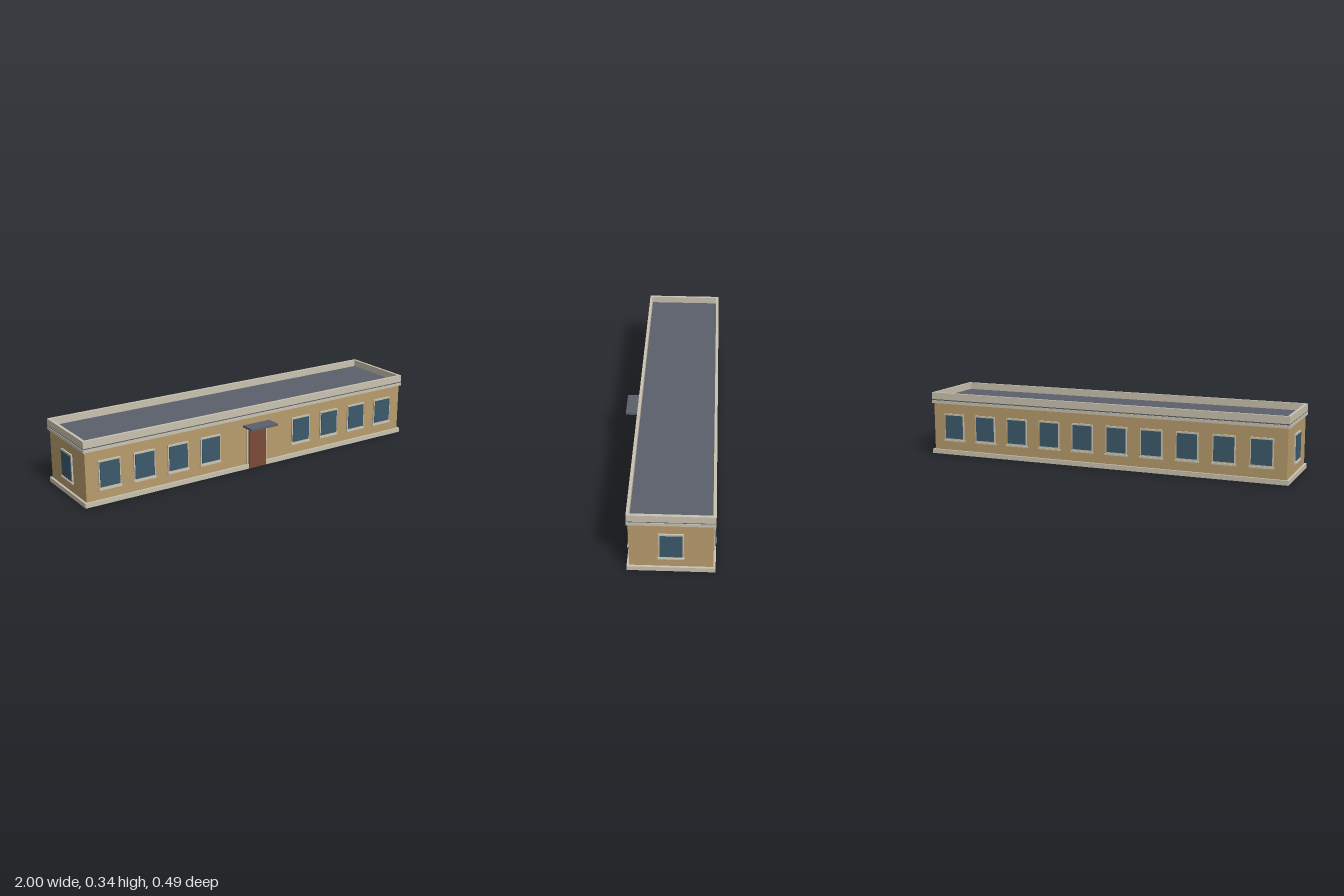
import * as THREE from 'three';

const material = (name, color) => {
  const m = new THREE.MeshStandardMaterial({ color });
  m.name = name;
  return m;
};

export function createModel() {
  const wall = material('ochre wall', 0xb89c6c);
  const trim = material('pale stone', 0xc9c2b0);
  const slate = material('slate roof', 0x5b606a);
  const glass = material('window glass', 0x3c5a6b);
  const wood = material('door wood', 0x7c4b38);

  const model = new THREE.Group();
  model.name = 'longBuilding';
  const CZ = -0.032;            // centre of the block in depth
  const HX = 0.988, HZ = 0.198; // half width and half depth of the walls

  // Box given by its width, y range, z range and centre x
  const box = (name, mat, parent, w, y0, y1, z0, z1, x = 0) => {
    const mesh = new THREE.Mesh(new THREE.BoxGeometry(w, y1 - y0, z1 - z0), mat);
    mesh.name = name;
    mesh.position.set(x, (y0 + y1) / 2, (z0 + z1) / 2);
    parent.add(mesh);
    return mesh;
  };
  // Layer of the block that overhangs the walls by "out"
  const layer = (name, mat, out, y0, y1) =>
    box(name, mat, model, 2 * (HX + out), y0, y1, CZ - HZ - out, CZ + HZ + out);

  // Stacked body
  layer('plinth', trim, 0.0115, 0, 0.024);
  layer('walls', wall, 0, 0.024, 0.281);
  layer('cornice', trim, 0.009, 0.281, 0.297);
  layer('roofDeck', slate, 0.006, 0.297, 0.303);

  // Parapet ring around the roof
  const px = HX + 0.0085, pz = HZ + 0.0085, t = 0.015;
  const ring = new THREE.Shape([[-px, -pz], [px, -pz], [px, pz], [-px, pz]].map(p => new THREE.Vector2(...p)));
  ring.holes.push(new THREE.Path([[t - px, t - pz], [t - px, pz - t], [px - t, pz - t], [px - t, t - pz]].map(p => new THREE.Vector2(...p))));
  const parapet = new THREE.Mesh(new THREE.ExtrudeGeometry(ring, { depth: 0.037, bevelEnabled: false }), trim);
  parapet.name = 'parapet';
  parapet.rotation.x = -Math.PI / 2;
  parapet.position.set(0, 0.303, CZ);
  model.add(parapet);

  // Window facing +z, its group origin on the wall surface
  const addWindow = (name, x, z, turn) => {
    const g = new THREE.Group();
    g.name = name;
    box('windowFrame', trim, g, 0.118, 0.08, 0.227, -0.002, 0.007);
    box('windowPane', glass, g, 0.106, 0.09, 0.218, 0.002, 0.0105);
    box('windowSill', trim, g, 0.126, 0.074, 0.082, -0.002, 0.012);
    g.position.set(x, 0, z);
    g.rotation.y = turn;
    model.add(g);
  };

  // Ten bays at the back; the front leaves the middle two free for the door
  for (let i = 0; i < 10; i++) {
    const x = (i - 4.5) * 0.1914;
    addWindow('backWindow', x, CZ - HZ, Math.PI);
    if (i !== 4 && i !== 5) addWindow('frontWindow', x, CZ + HZ, 0);
  }
  for (const s of [-1, 1]) addWindow('endWindow', s * HX, CZ, s * Math.PI / 2);

  // Entrance
  const front = CZ + HZ;
  box('doorFrame', trim, model, 0.126, 0.002, 0.222, front - 0.002, front + 0.007);
  box('door', wood, model, 0.106, 0.002, 0.212, front, front + 0.0155);
  box('canopy', slate, model, 0.166, 0.233, 0.244, front - 0.002, 0.245);

  return model;
}
